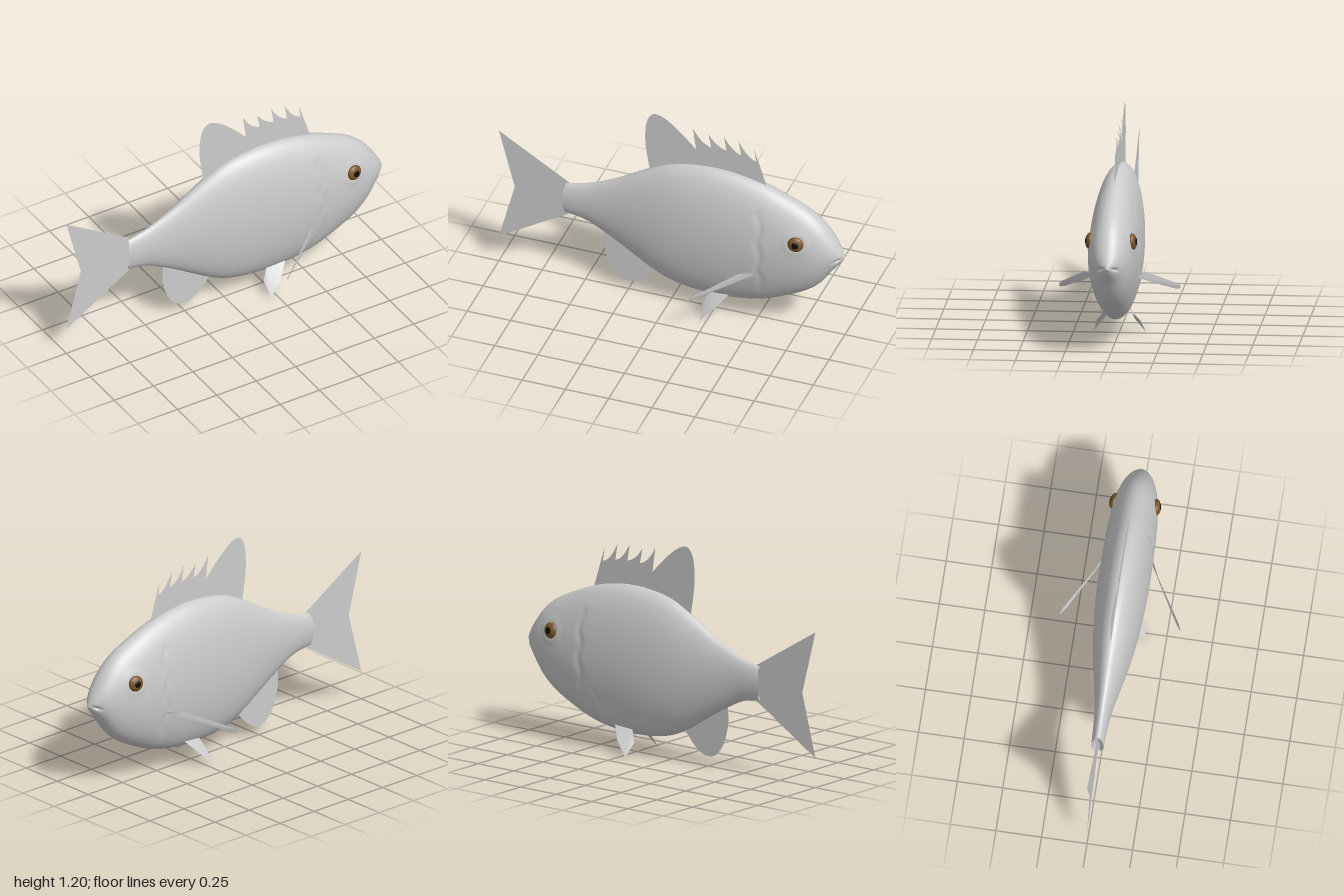
import * as THREE from 'three';

const grey = new THREE.MeshStandardMaterial({ color: 0xcccccc });
const finGrey = new THREE.MeshStandardMaterial({ color: 0xcccccc, side: THREE.DoubleSide });
const brown = new THREE.MeshStandardMaterial({ color: 0x7a5426 });
const black = new THREE.MeshStandardMaterial({ color: 0x0c0a08 });

// Body stations: x, top, bottom, half width
const stations = [
  [-0.625, 0.62, 0.43, 0.034], [-0.5, 0.645, 0.41, 0.04], [-0.4, 0.685, 0.362, 0.05],
  [-0.3, 0.735, 0.305, 0.067], [-0.2, 0.795, 0.242, 0.086], [-0.1, 0.852, 0.182, 0.104],
  [0, 0.898, 0.138, 0.118], [0.12, 0.925, 0.113, 0.13], [0.26, 0.935, 0.106, 0.138],
  [0.4, 0.923, 0.115, 0.14], [0.55, 0.888, 0.148, 0.138], [0.7, 0.828, 0.214, 0.13],
  [0.8, 0.778, 0.272, 0.117], [0.87, 0.722, 0.335, 0.1], [0.93, 0.648, 0.42, 0.074],
  [0.975, 0.575, 0.478, 0.04], [1, 0.522, 0.518, 0.003],
];

const bump = (d, r) => Math.exp(-(d * d) / (r * r));

function mesh(name, geometry, material) {
  const m = new THREE.Mesh(geometry, material);
  m.name = name;
  return m;
}

// Relief: scalloped gill edge, raised eye socket and mouth slit
function relief(x, y) {
  const along = THREE.MathUtils.smoothstep(y, 0.22, 0.28) * (1 - THREE.MathUtils.smoothstep(y, 0.76, 0.8));
  const edge = 0.53 + 0.025 * Math.abs(Math.sin((y - 0.25) * Math.PI / 0.17));
  const gill = -0.006 * along * bump(x - edge, 0.018);
  const socket = 0.004 * bump(Math.hypot(x - 0.757, y - 0.625) - 0.055, 0.018);
  const mouth = -0.014 * bump(x - 0.968, 0.018) * bump(y - 0.514 - (x - 0.968) * 0.4, 0.009);
  return gill + socket + mouth;
}

function bodyGeometry() {
  const spline = (pick) => new THREE.CatmullRomCurve3(
    stations.map((s) => new THREE.Vector3(...pick(s))), false, 'catmullrom', 0.5);
  const outline = spline((s) => [s[0], s[1], s[2]]);
  const width = spline((s) => [s[3], 0, 0]);
  const rings = 224, sides = 112, pos = [], index = [];
  for (let i = 0; i <= rings; i++) {
    const t = i / rings, p = outline.getPoint(t), w = Math.max(width.getPoint(t).x, 0.002);
    const tail = 1 - THREE.MathUtils.smoothstep(p.x, -0.625, -0.5);
    for (let j = 0; j < sides; j++) {
      const a = (j / sides) * Math.PI * 2, s = Math.sin(a);
      const y = (p.y + p.z) / 2 + ((p.y - p.z) / 2) * Math.cos(a);
      const z = w * s + relief(p.x, y) * s;
      pos.push(p.x + 0.015 * tail * Math.cos(a) ** 2, y, z);
      if (i < rings) {
        const k = i * sides + j, n = i * sides + (j + 1) % sides;
        index.push(k, n, k + sides, n, n + sides, k + sides);
      }
    }
  }
  const g = new THREE.BufferGeometry();
  g.setAttribute('position', new THREE.Float32BufferAttribute(pos, 3));
  g.setIndex(index);
  g.computeVertexNormals();
  return g;
}

// Recessed end of the tail stalk
function tailSocket() {
  const rows = [[1, 0], [0.85, 0.004], [0.6, 0.025], [0, 0.03]], sides = 48, pos = [], index = [];
  rows.forEach(([r, dx], i) => {
    for (let j = 0; j < sides; j++) {
      const a = (j / sides) * Math.PI * 2, c = Math.cos(a);
      pos.push(-0.625 + dx + 0.015 * c * c * r, 0.525 + 0.095 * r * c, 0.034 * r * Math.sin(a));
      if (i < rows.length - 1) {
        const k = i * sides + j, n = i * sides + (j + 1) % sides;
        index.push(k, k + sides, n, n, k + sides, n + sides);
      }
    }
  });
  const g = new THREE.BufferGeometry();
  g.setAttribute('position', new THREE.Float32BufferAttribute(pos, 3));
  g.setIndex(index);
  g.computeVertexNormals();
  return mesh('tailSocket', g, finGrey);
}

// Thin flat blade as a fan of triangles around its first corner
function blade(name, corners) {
  const g = new THREE.BufferGeometry().setFromPoints(corners.map((c) => new THREE.Vector3(...c)));
  const index = [];
  for (let i = 1; i < corners.length - 1; i++) index.push(0, i, i + 1);
  g.setIndex(index);
  g.computeVertexNormals();
  return mesh(name, g, finGrey);
}

function flatFin(name, shape) {
  return mesh(name, new THREE.ShapeGeometry(shape, 16), finGrey);
}

function tailFin() {
  const s = new THREE.Shape();
  [[-0.58, 0.62], [-1, 0.875], [-0.908, 0.522], [-1, 0.17], [-0.58, 0.43]]
    .forEach(([x, y], i) => (i ? s.lineTo(x, y) : s.moveTo(x, y)));
  return flatFin('tailFin', s);
}

function dorsalFin() {
  const s = new THREE.Shape();
  s.moveTo(-0.12, 0.8);
  s.lineTo(-0.133, 0.86);
  s.splineThru([[-0.153, 1.0], [-0.15, 1.12], [-0.128, 1.185], [-0.09, 1.208], [-0.03, 1.185],
    [0.05, 1.12], [0.14, 1.03]].map((p) => new THREE.Vector2(...p)));
  // Spines: each tip sweeps down to the foot of the next
  const spines = [[0.12, 1.168, 0.228, 1.065], [0.21, 1.15, 0.315, 1.065],
    [0.3, 1.157, 0.4, 1.055], [0.385, 1.147, 0.487, 1.035]];
  for (const [tx, ty, vx, vy] of spines) {
    s.lineTo(tx, ty);
    s.quadraticCurveTo(tx + 0.05, vy + 0.01, vx, vy);
  }
  s.lineTo(0.475, 1.115);
  s.lineTo(0.548, 0.885);
  s.lineTo(0.53, 0.84);
  return flatFin('dorsalFin', s);
}

function analFin() {
  const s = new THREE.Shape();
  s.moveTo(-0.38, 0.39);
  s.lineTo(-0.39, 0.33);
  s.splineThru([[-0.388, 0.25], [-0.36, 0.15], [-0.31, 0.08], [-0.255, 0.06], [-0.2, 0.073],
    [-0.145, 0.115], [-0.09, 0.18]].map((p) => new THREE.Vector2(...p)));
  s.lineTo(-0.1, 0.26);
  return flatFin('analFin', s);
}

// Eye and paired fins of one side
function sideParts() {
  const g = new THREE.Group();
  const eye = new THREE.Group();
  eye.name = 'eye';
  const iris = mesh('iris', new THREE.SphereGeometry(0.044, 32, 24), brown);
  iris.scale.z = 0.5;
  const pupil = mesh('pupil', new THREE.SphereGeometry(0.022, 24, 16), black);
  pupil.scale.z = 0.3;
  pupil.position.z = 0.0165;
  eye.add(iris, pupil);
  eye.position.set(0.757, 0.625, 0.118);
  eye.rotation.set(-0.1, 0.15, 0);
  g.add(eye);
  g.add(blade('pectoralFin', [[0.53, 0.375, 0.12], [0.545, 0.4, 0.125], [0.44, 0.385, 0.172],
    [0.23, 0.28, 0.318], [0.2, 0.258, 0.332], [0.205, 0.245, 0.327], [0.24, 0.255, 0.3], [0.4, 0.32, 0.2]]));
  g.add(blade('pelvicFin', [[0.24, 0.15, 0.05], [0.36, 0.165, 0.055], [0.29, 0.083, 0.118],
    [0.215, 0.005, 0.142], [0.205, 0.075, 0.08]]));
  return g;
}

export function createModel() {
  const fish = new THREE.Group();
  fish.name = 'fish';
  fish.add(mesh('body', bodyGeometry(), grey), tailSocket(), tailFin(), dorsalFin(), analFin());
  for (const side of [1, -1]) {
    const parts = sideParts();
    parts.name = side > 0 ? 'frontSideParts' : 'backSideParts';
    parts.scale.z = side;
    fish.add(parts);
  }
  return fish;
}
